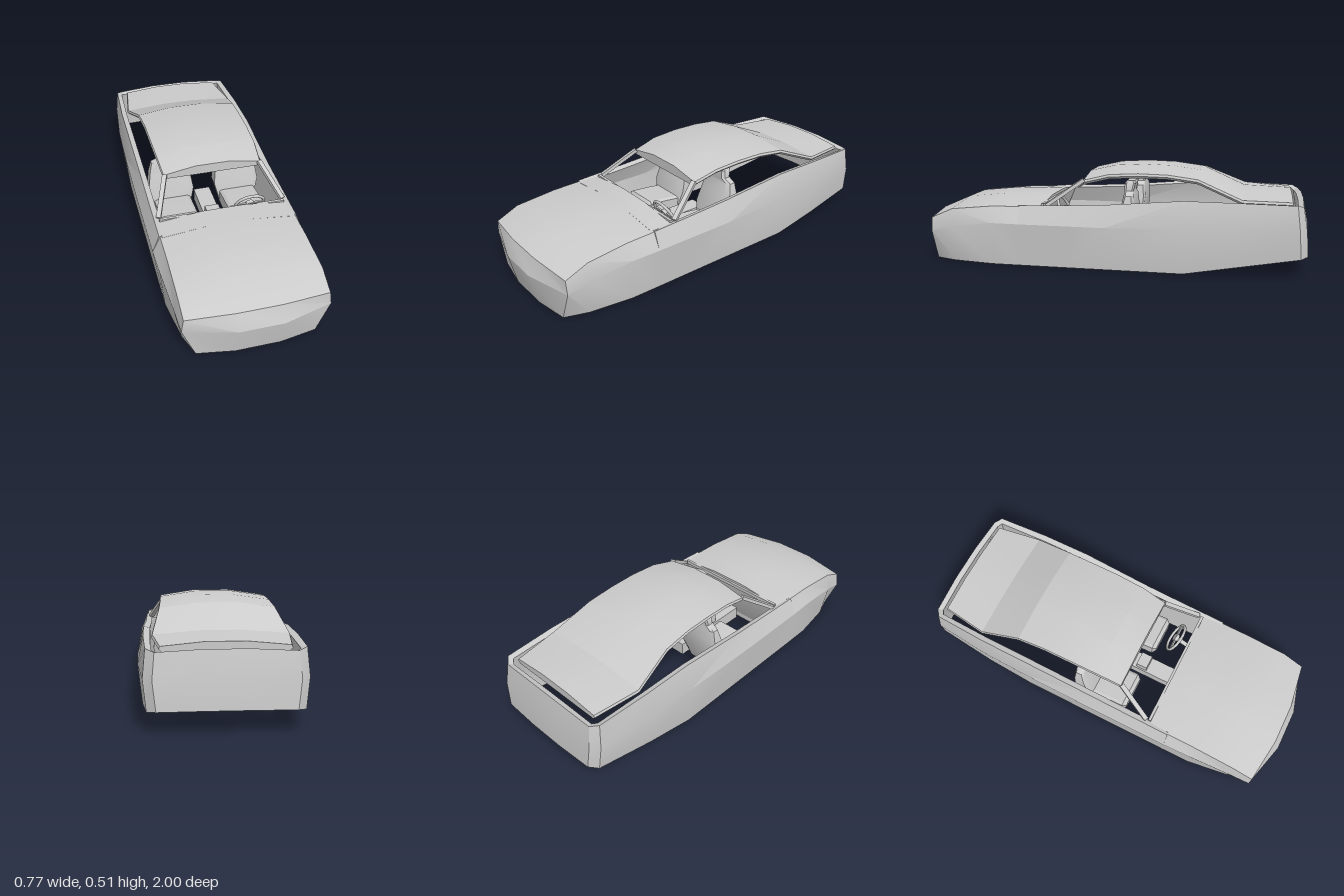
import * as THREE from 'three';
import { toCreasedNormals } from 'three/addons/utils/BufferGeometryUtils.js';

const grey = new THREE.MeshStandardMaterial({ color: 0xcccccc });

function add(parent, name, geometry, pos = [0, 0, 0]) {
  const mesh = new THREE.Mesh(geometry, grey);
  mesh.name = name;
  mesh.position.set(...pos);
  parent.add(mesh);
  return mesh;
}

// Half cross-section on +x, completed by its mirror image
const mirrored = (half) => [...half, ...half.map(([x, y, z]) => [-x, y, z]).reverse()];

// Closed solid through rings of equal point count; ends are closed by strips
function loft(rings, crease = 0.45) {
  const pos = [];
  const n = rings[0].length;
  const quad = (a, b, c, d) => pos.push(...a, ...b, ...c, ...a, ...c, ...d);
  for (let r = 0; r + 1 < rings.length; r++) {
    for (let i = 0; i < n; i++) {
      const j = (i + 1) % n;
      quad(rings[r][i], rings[r][j], rings[r + 1][j], rings[r + 1][i]);
    }
  }
  const first = rings[0], last = rings[rings.length - 1];
  for (let i = 0; i < n / 2 - 1; i++) {
    quad(first[n - 1 - i], first[n - 2 - i], first[i + 1], first[i]);
    quad(last[i], last[i + 1], last[n - 2 - i], last[n - 1 - i]);
  }
  // Turn every triangle outward if the enclosed volume is negative
  const a = new THREE.Vector3(), b = new THREE.Vector3(), c = new THREE.Vector3();
  let volume = 0;
  for (let i = 0; i < pos.length; i += 9) {
    a.fromArray(pos, i); b.fromArray(pos, i + 3); c.fromArray(pos, i + 6);
    volume += a.dot(b.cross(c));
  }
  if (volume < 0) {
    for (let i = 0; i < pos.length; i += 9) {
      for (let k = 0; k < 3; k++) [pos[i + k], pos[i + 3 + k]] = [pos[i + 3 + k], pos[i + k]];
    }
  }
  const g = new THREE.BufferGeometry();
  g.setAttribute('position', new THREE.Float32BufferAttribute(pos, 3));
  return toCreasedNormals(g, crease);
}

// Square bar between two points
function bar(parent, name, from, to, w, d) {
  const p = new THREE.Vector3(...from), q = new THREE.Vector3(...to);
  const mesh = add(parent, name, new THREE.BoxGeometry(w, d, p.distanceTo(q)));
  mesh.position.copy(p).add(q).multiplyScalar(0.5);
  mesh.lookAt(q);
}

function createSeat(x) {
  const seat = new THREE.Group();
  seat.name = 'seat';
  seat.position.x = x;
  // Backrest narrowing into the headrest: y, half width, front z, rear z
  const back = [
    [0.1, 0.1, -0.01, -0.09], [0.2, 0.125, -0.03, -0.12], [0.3, 0.11, -0.06, -0.13],
    [0.365, 0.095, -0.075, -0.125], [0.385, 0.056, -0.072, -0.12],
    [0.425, 0.052, -0.075, -0.13], [0.437, 0.042, -0.085, -0.125],
  ].map(([y, w, f, r]) => mirrored([[w * 0.75, y, f], [w, y, f - 0.012], [w, y, r + 0.008], [w * 0.8, y, r]]));
  add(seat, 'backrest', loft(back, 0.6));
  // Cushion: z, half width, bottom, top
  const cushion = [
    [0.175, 0.085, 0.11, 0.165], [0.155, 0.1, 0.08, 0.185], [0.05, 0.1, 0.07, 0.175], [-0.06, 0.1, 0.07, 0.16],
  ].map(([z, w, b, t]) => mirrored([[w * 0.9, b, z], [w, b + 0.02, z], [w, t - 0.01, z], [w * 0.85, t, z]]));
  add(seat, 'cushion', loft(cushion));
  return seat;
}

export function createModel() {
  const car = new THREE.Group();
  car.name = 'car';

  // Front clip: z, bottom x, belt x, belt y, shoulder x, shoulder y, crown y
  const front = [
    [0.45, 0.363, 0.385, 0.22, 0.345, 0.305, 0.333],
    [0.6, 0.362, 0.381, 0.22, 0.345, 0.302, 0.331],
    [0.82, 0.33, 0.364, 0.19, 0.346, 0.28, 0.308],
    [0.935, 0.29, 0.354, 0.16, 0.343, 0.23, 0.245],
  ].map(([z, xb, xm, ym, xs, ys, yc], i) => mirrored([
    [xb, 0, z], [xm, ym, z], [xs, ys, z], [0.11, yc, i === 3 ? 0.965 : z],
  ]));
  front.push(mirrored([[0.11, 0, 0.965], [0.11, 0.16, 1], [0.11, 0.245, 0.965], [0.11, 0.245, 0.965]]));
  add(car, 'frontBody', loft(front));

  // Cowl with sloping firewall below it
  add(car, 'cowl', loft([[0.46, 0.005], [0.34, 0.285]].map(([z, y]) =>
    mirrored([[0.335, y, z], [0.335, 0.307, z], [0.11, 0.333, z]]))));
  add(car, 'windscreenBase', new THREE.BoxGeometry(0.65, 0.02, 0.015), [0, 0.31, 0.335]);

  // Wall shell, one half: bottom, belt and top points, then inward offset (x, z)
  const half = [
    [[0.363, 0, 0.45], [0.385, 0.22, 0.45], [0.35, 0.31, 0.45], -0.03, 0],
    [[0.363, 0, 0.2], [0.386, 0.22, 0.2], [0.35, 0.32, 0.2], -0.03, 0],
    [[0.363, 0, 0], [0.386, 0.22, 0], [0.35, 0.33, 0], -0.03, 0],
    [[0.363, 0, -0.39], [0.385, 0.23, -0.39], [0.354, 0.364, -0.39], -0.03, 0],
    [[0.358, 0.045, -0.65], [0.378, 0.23, -0.65], [0.352, 0.362, -0.65], -0.03, 0],
    [[0.335, 0.093, -0.955], [0.35, 0.23, -0.945], [0.338, 0.356, -0.93], -0.025, 0.012],
    [[0.295, 0.1, -0.99], [0.31, 0.23, -0.98], [0.3, 0.345, -0.96], -0.012, 0.025],
    [[0.1, 0.104, -1], [0.1, 0.23, -0.993], [0.1, 0.357, -0.967], 0, 0.027],
  ].map(([b, m, t, dx, dz]) => [
    b, m, t, ...[t, m, b].map(([x, y, z], i) => [x + dx, y - (i === 0 ? 0.01 : 0), z + dz]),
  ]);
  const otherHalf = half.map((ring) => ring.map(([x, y, z]) => [-x, y, z])).reverse();
  add(car, 'sideAndRearWalls', loft([...half, ...otherHalf], 0.35));

  // Roof running down into the rear deck: z, crown y, edge y, half width
  const roof = [
    [0.135, 0.466, 0.437, 0.262], [0, 0.498, 0.471, 0.272], [-0.15, 0.507, 0.48, 0.276],
    [-0.3, 0.503, 0.477, 0.277], [-0.45, 0.484, 0.459, 0.283], [-0.67, 0.386, 0.369, 0.315],
    [-0.91, 0.378, 0.36, 0.282],
  ].map(([z, yc, yo, x]) => mirrored([
    [0.09, yc - 0.022, z], [x - 0.012, yo - 0.024, z], [x, yo - 0.012, z], [x - 0.005, yo, z], [0.09, yc, z],
  ]));
  // Ordered as underside, edge, top so the two halves join at the crown
  const roofRings = roof.map((r) => [r[9], r[8], r[7], r[6], r[5], r[4], r[3], r[2], r[1], r[0]]);
  add(car, 'roof', loft(roofRings.map((r) => {
    // r holds left underside to left top, then right top to right underside
    return r;
  }), 0.2));

  for (const s of [1, -1]) {
    bar(car, 'windscreenPillar', [s * 0.252, 0.438, 0.135], [s * 0.325, 0.312, 0.315], 0.024, 0.018);
    car.add(createSeat(s * 0.185));
  }

  // Centre console with selector housing
  add(car, 'console', new THREE.BoxGeometry(0.09, 0.07, 0.46), [0, 0.105, 0.13]);
  add(car, 'selectorHousing', new THREE.BoxGeometry(0.075, 0.05, 0.06), [0, 0.16, 0.15]);

  // Steering wheel on its column
  const wheel = new THREE.Group();
  wheel.name = 'steeringWheel';
  wheel.position.set(0.17, 0.265, 0.255);
  wheel.rotation.x = 0.46;
  add(wheel, 'rim', new THREE.TorusGeometry(0.077, 0.008, 8, 28));
  add(wheel, 'spoke', new THREE.BoxGeometry(0.15, 0.02, 0.008));
  add(wheel, 'hub', new THREE.CylinderGeometry(0.022, 0.022, 0.018, 16)).rotation.x = Math.PI / 2;
  add(wheel, 'column', new THREE.CylinderGeometry(0.012, 0.012, 0.15, 12), [0, 0, 0.075]).rotation.x = Math.PI / 2;
  car.add(wheel);

  return car;
}
